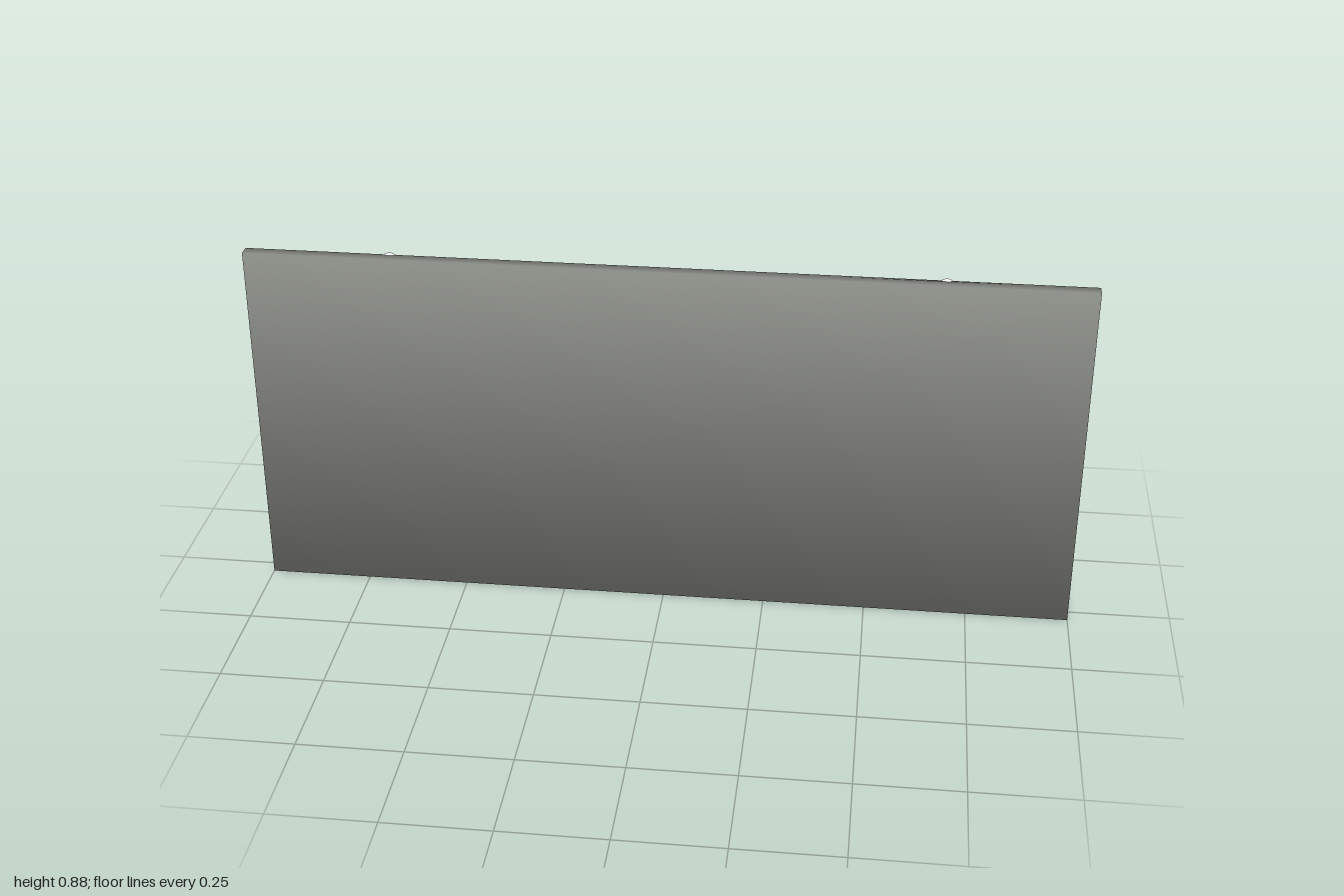
import * as THREE from 'three';

const frameMat = new THREE.MeshStandardMaterial({ name: 'greyFrame', color: 0x8c8e88 });
const boardMat = new THREE.MeshStandardMaterial({ name: 'paleBoard', color: 0xdededc });
const studMat = new THREE.MeshStandardMaterial({ name: 'whiteStud', color: 0xeeeeec });

const W = 1, H = 0.88, RAIL = 0.042;
const FRONT = 0.037, BACK = 0.006, DEEP = 0.027, TRAY = -0.037;
const CORNERS = [[-1, -1], [1, -1], [1, 1], [-1, 1]];

// Rectangular rings joined front to back, with rounded-looking shared normals
function panelGeometry() {
  const rings = [
    { inset: 0, z: FRONT, out: 1, nz: 1 },
    { inset: 0, z: BACK, out: 1, nz: -1 },
    { inset: RAIL, z: BACK, out: -1, nz: -1 },
    { inset: RAIL, z: DEEP, out: -1, nz: -1 },
  ];
  const pos = [], nor = [], idx = [];
  const k = 1 / Math.sqrt(3);
  for (const r of rings) {
    for (const [sx, sy] of CORNERS) {
      pos.push(sx * (W - r.inset), H / 2 + sy * (H / 2 - r.inset), r.z);
      nor.push(sx * r.out * k, sy * r.out * k, r.nz * k);
    }
  }
  idx.push(0, 1, 2, 0, 2, 3); // front sheet
  for (let r = 0; r < 3; r++) {
    for (let i = 0; i < 4; i++) {
      const a = r * 4 + i, b = r * 4 + (i + 1) % 4;
      idx.push(a, a + 4, b, b, a + 4, b + 4);
    }
  }
  const frameCount = idx.length;
  idx.push(12, 14, 13, 12, 15, 14); // recessed writing surface
  const g = new THREE.BufferGeometry();
  g.setAttribute('position', new THREE.Float32BufferAttribute(pos, 3));
  g.setAttribute('normal', new THREE.Float32BufferAttribute(nor, 3));
  g.setIndex(idx);
  g.addGroup(0, frameCount, 0);
  g.addGroup(frameCount, 6, 1);
  return g;
}

// Box whose corner normals point diagonally outward
function softBox(w, h, d) {
  const g = new THREE.BoxGeometry(w, h, d);
  const p = g.attributes.position, n = g.attributes.normal, k = 1 / Math.sqrt(3);
  for (let i = 0; i < p.count; i++) {
    n.setXYZ(i, Math.sign(p.getX(i)) * k, Math.sign(p.getY(i)) * k, Math.sign(p.getZ(i)) * k);
  }
  return g;
}

export function createModel() {
  const group = new THREE.Group();
  group.name = 'wallBoard';
  const add = (name, geometry, material, x, y, z) => {
    const mesh = new THREE.Mesh(geometry, material);
    mesh.name = name;
    mesh.position.set(x, y, z);
    group.add(mesh);
    return mesh;
  };

  // Frame and writing surface
  add('framedBoard', panelGeometry(), [frameMat, boardMat], 0, 0, 0);

  // Pen tray along the bottom of the back
  const depth = BACK - TRAY, midZ = (BACK + TRAY) / 2;
  add('penTray', new THREE.BoxGeometry(2 * W - 0.08, 0.014, depth), frameMat, 0, 0.007, midZ);

  for (const side of [-1, 1]) {
    const label = side > 0 ? 'left' : 'right';
    // Tray end blocks
    add(label + 'TrayEnd', softBox(0.042, 0.043, depth), frameMat, side * (W - 0.021), 0.0215, midZ);
    // Round studs on the top rail
    const stud = add(label + 'Stud', new THREE.SphereGeometry(0.022, 20, 14), studMat, side * 0.652, 0.863, BACK);
    stud.scale.z = 0.45;
  }
  return group;
}
